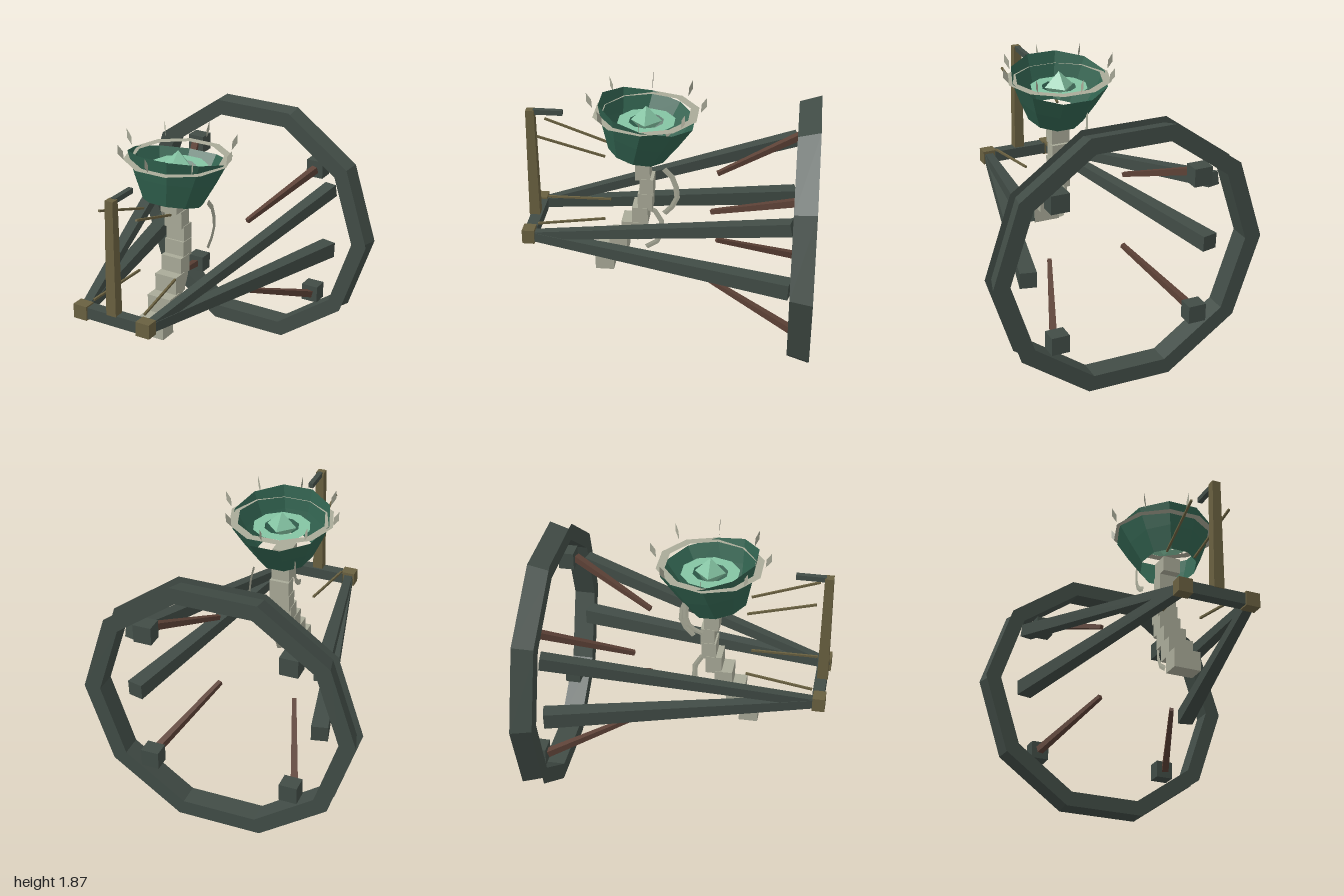
import * as THREE from 'three';

const mat = (name, color) => new THREE.MeshStandardMaterial({ name, color, flatShading: true, side: THREE.DoubleSide });

export function createModel() {
  const model = new THREE.Group();
  model.name = 'floatingBowlStation';
  const frame = mat('darkFrame', 0x414c46);
  const brass = mat('oldBrass', 0x696040);
  const rust = mat('rustBrown', 0x5c4136);
  const bone = mat('paleBone', 0xa9aa98);
  const bowlGreen = mat('deepGreen', 0x31624f);
  const glow = mat('paleGreen', 0x84c4a3);
  const V = (x, y, z) => new THREE.Vector3(x, y, z);

  const add = (name, geo, material, x = 0, y = 0, z = 0) => {
    const mesh = new THREE.Mesh(geo, material);
    mesh.name = name;
    mesh.position.set(x, y, z);
    model.add(mesh);
    return mesh;
  };
  const box = (name, m, w, h, d, x, y, z) => add(name, new THREE.BoxGeometry(w, h, d), m, x, y, z);

  // Tapered square bar from a to b, with corner radii ra and rb
  const bar = (name, m, a, b, ra, rb) => {
    const geo = new THREE.CylinderGeometry(rb, ra, a.distanceTo(b), 4, 1, false, Math.PI / 4);
    geo.rotateX(Math.PI / 2);
    const mid = a.clone().add(b).multiplyScalar(0.5);
    const mesh = add(name, geo, m, mid.x, mid.y, mid.z);
    mesh.lookAt(b);
    return mesh;
  };
  const START = Math.PI / 10;

  // Ten-sided rear ring, its wall narrowing to a wide flat front face
  const ringProfile = [[0.83, -0.85], [0.83, -1], [0.945, -1], [0.9, -0.85]]
    .map(([r, z]) => new THREE.Vector2(r, z));
  const ringGeo = new THREE.LatheGeometry(ringProfile, 10, START);
  ringGeo.rotateX(Math.PI / 2);
  add('rearRing', ringGeo, frame, 0, 0.9, 0);
  add('rearRingFace', new THREE.RingGeometry(0.83, 0.943, 10), frame, 0, 0.9, -0.85);

  // Frame beams, corner blocks, struts and feeler rods on both sides
  for (const s of [-1, 1]) {
    const side = s > 0 ? 'left' : 'right';
    const corner = V(s * 0.24, 0.9, 0.94);
    bar(side + 'LowerBeam', frame, corner, V(s * 0.652, 0.835, -0.85), 0.045, 0.078);
    bar(side + 'UpperBeam', frame, corner, V(s * 0.652, 1.298, -0.85), 0.04, 0.064);
    box(side + 'CornerBlock', brass, 0.1, 0.1, 0.085, s * 0.24, 0.905, 0.955);
    for (const up of [-1, 1]) {
      const level = up > 0 ? 'Upper' : 'Lower';
      box(side + level + 'Pad', frame, 0.125, 0.125, 0.11, s * 0.495, 0.903 + up * 0.5, -0.945);
      bar(side + level + 'Strut', rust, V(s * 0.5, 0.903 + up * 0.5, -0.89),
        V(s * 0.275, 0.903 + up * 0.27, -0.3), 0.034, 0.021);
    }
    bar(side + 'UpperRod', brass, V(s * 0.14, 1.605, 0.89), V(s * 0.105, 1.46, 0.435), 0.01, 0.01);
    bar(side + 'LowerRod', brass, V(s * 0.195, 0.965, 0.9), V(s * 0.14, 1.0, 0.44), 0.01, 0.01);
  }
  box('crossbar', frame, 0.4, 0.08, 0.08, 0, 0.905, 0.945);

  // Front post and its arm
  bar('post', brass, V(0, 0.94, 0.955), V(0, 1.735, 0.955), 0.052, 0.041);
  box('postArm', frame, 0.035, 0.035, 0.2, 0, 1.722, 0.835);

  // Curved spine of blocks: centre y, centre z, width, height, depth
  const spine = [
    [0.633, 0.46, 0.19, 0.135, 0.13], [0.755, 0.362, 0.178, 0.135, 0.125],
    [0.88, 0.278, 0.164, 0.135, 0.12], [0.995, 0.208, 0.155, 0.13, 0.11],
    [1.105, 0.172, 0.148, 0.125, 0.1], [1.215, 0.162, 0.14, 0.125, 0.095],
    [1.33, 0.188, 0.132, 0.125, 0.1], [1.45, 0.223, 0.125, 0.11, 0.14],
  ];
  spine.forEach(([y, z, w, h, d], i) => box('spineBlock' + (i + 1), bone, w, h, d, 0, y, z));

  // Flat curved straps behind the spine: x, then y, z points
  const straps = [
    [-0.15, [[1.53, 0.035], [1.42, 0.025], [1.34, 0.06], [1.3, 0.14]]],
    [0.15, [[1.41, 0.03], [1.35, -0.025], [1.27, -0.052], [1.17, -0.052], [1.07, 0.03]]],
    [0, [[1.04, 0.19], [0.99, 0.1], [0.88, 0.06], [0.77, 0.09], [0.71, 0.175]]],
  ];
  straps.forEach(([x, pts], i) => {
    const curve = new THREE.CatmullRomCurve3(pts.map(([y, z]) => V(0, y, z)));
    const geo = new THREE.TubeGeometry(curve, 5, 0.019, 4);
    geo.scale(0.1, 1, 1);
    add('strap' + (i + 1), geo, bone, x);
  });

  // Open bowl leaning back
  const bowlProfile = [[0.2, -0.157], [0.275, 0], [0.341, 0.157]].map(([r, y]) => new THREE.Vector2(r, y));
  const bowl = add('bowl', new THREE.LatheGeometry(bowlProfile, 10, START), bowlGreen, 0, 1.608, 0.197);
  bowl.rotation.x = -0.235;

  // Flat rings around and inside the bowl
  const flatRing = (name, m, inner, outer, y) => {
    const geo = new THREE.RingGeometry(inner, outer, 10);
    geo.rotateX(-Math.PI / 2);
    add(name, geo, m, 0, y, 0.166);
  };
  flatRing('haloRing', bone, 0.305, 0.365, 1.75);
  flatRing('innerRing', glow, 0.12, 0.2, 1.69);
  add('crystal', new THREE.OctahedronGeometry(0.105), glow, 0, 1.695, 0.166);

  // Thin blades standing around the halo
  const blade = new THREE.Shape([[0.405, 1.875], [0.37, 1.827], [0.366, 1.765], [0.405, 1.812]]
    .map(([r, y]) => new THREE.Vector2(r, y)));
  const bladeGeo = new THREE.ShapeGeometry(blade);
  for (let i = 0; i < 8; i++) {
    add('blade' + (i + 1), bladeGeo, bone, 0, 0, 0.166).rotation.y = i * Math.PI / 4;
  }
  return model;
}
